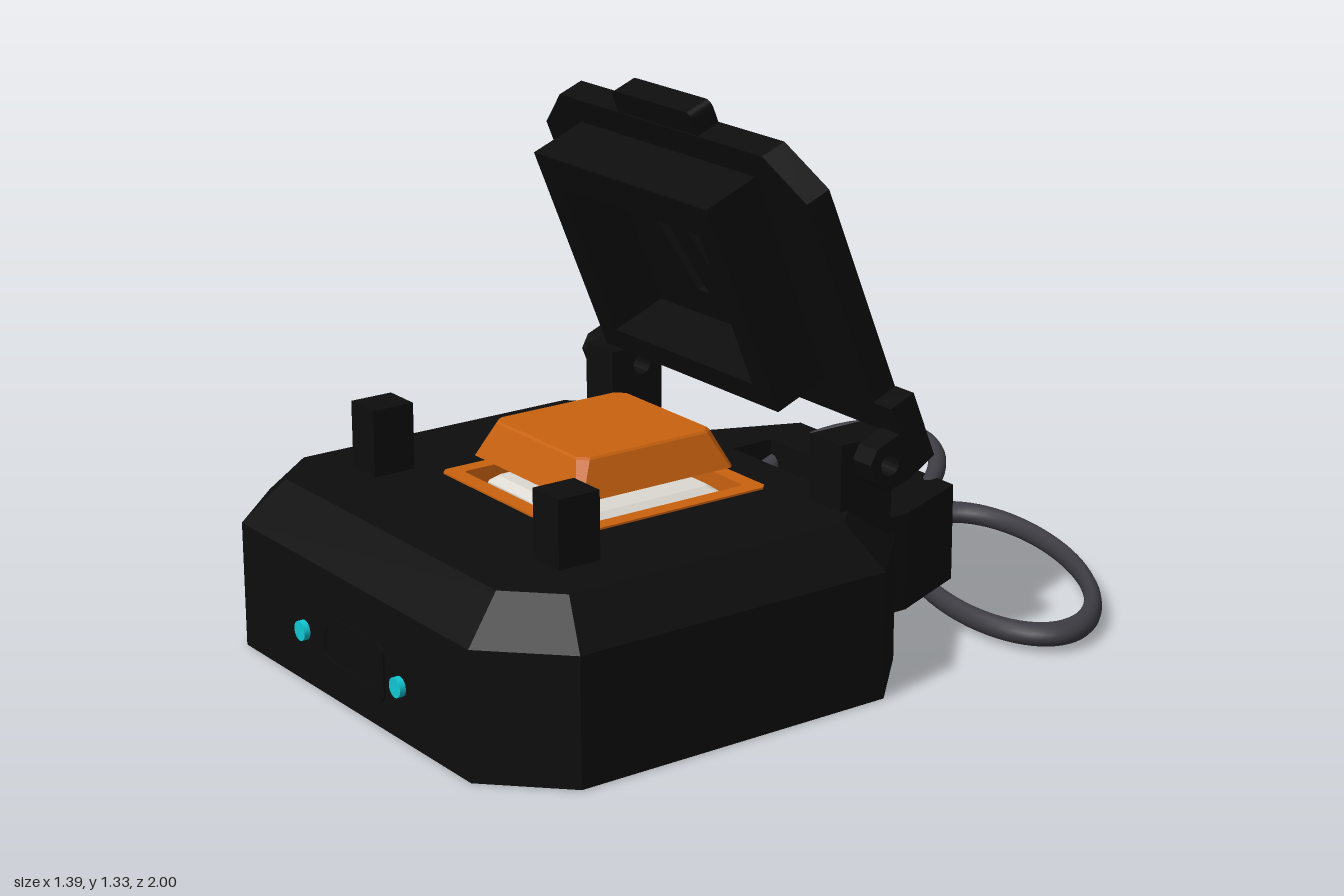
import * as THREE from 'three';

const CX = -0.0325; // mirror plane of the body

const mat = (name, color, side = THREE.FrontSide) => {
  const m = new THREE.MeshStandardMaterial({ color, side });
  m.name = name;
  return m;
};

// chamfered rectangle loop at height y
function loop(y, hx, hz, c, cz) {
  const p = [[hx, hz - c], [hx, -hz + c], [hx - c, -hz], [-hx + c, -hz],
    [-hx, -hz + c], [-hx, hz - c], [-hx + c, hz], [hx - c, hz]];
  return p.map(([x, z]) => [CX + x, y, cz + z]);
}

// skin through a stack of loops, flat shaded, with optional end caps
function loft(loops, caps = true) {
  const v = [];
  const tri = (a, b, c) => v.push(...a, ...b, ...c);
  const n = loops[0].length;
  for (let k = 0; k < loops.length - 1; k++) {
    const a = loops[k], b = loops[k + 1];
    for (let i = 0; i < n; i++) {
      const j = (i + 1) % n;
      tri(a[i], a[j], b[j]);
      tri(a[i], b[j], b[i]);
    }
  }
  if (caps) {
    const a = loops[0], b = loops[loops.length - 1];
    for (let i = 1; i < n - 1; i++) {
      tri(a[0], a[i + 1], a[i]);
      tri(b[0], b[i], b[i + 1]);
    }
  }
  const g = new THREE.BufferGeometry();
  g.setAttribute('position', new THREE.Float32BufferAttribute(v, 3));
  g.computeVertexNormals();
  return g;
}

const poly = (pts) => new THREE.Shape(pts.map(([x, y]) => new THREE.Vector2(x, y)));
const extrude = (shape, depth) =>
  new THREE.ExtrudeGeometry(shape, { depth, bevelEnabled: false, curveSegments: 10 });
const rect = (x0, x1, y0, y1) => poly([[x0, y0], [x1, y0], [x1, y1], [x0, y1]]);
// shape drawn as (z, y), given a thickness along x
const extrudeX = (shape, w) => extrude(shape, w).rotateY(-Math.PI / 2).translate(w / 2, 0, 0);

function pinHole(shape, x, y) {
  shape.holes.push(new THREE.Path().absarc(x, y, 0.026, 0, Math.PI * 2, true));
  return shape;
}

function roundRect(w, h, r) {
  const s = new THREE.Shape(), x = w / 2, y = h / 2;
  s.absarc(x - r, y - r, r, 0, Math.PI / 2);
  s.absarc(-x + r, y - r, r, Math.PI / 2, Math.PI);
  s.absarc(-x + r, -y + r, r, Math.PI, Math.PI * 1.5);
  s.absarc(x - r, -y + r, r, Math.PI * 1.5, Math.PI * 2);
  return s;
}

export function createModel() {
  const root = new THREE.Group();
  root.name = 'keySwitchCase';
  const black = mat('black plastic', 0x0d0d0d);
  const orange = mat('orange plastic', 0xc8620f);
  const orangeOpen = mat('orange trim', 0xc8620f, THREE.DoubleSide);
  const cyan = mat('cyan light', 0x10c8d4);
  const grey = mat('ring metal', 0x3d3c43);
  const white = mat('switch white', 0xdcd9d2);

  const add = (name, geo, m, parent = root, x = 0, y = 0, z = 0) => {
    const mesh = new THREE.Mesh(geo, m);
    mesh.name = name;
    mesh.position.set(x, y, z);
    parent.add(mesh);
    return mesh;
  };

  // body with bevelled top edge and a square switch well
  const BZ = 0.3925, KZ = 0.288;
  add('body', loft([
    loop(0, 0.6675, 0.5925, 0.172, BZ),
    loop(0.31, 0.6675, 0.5925, 0.172, BZ),
    loop(0.41, 0.5675, 0.4925, 0.113, BZ),
    loop(0.41, 0.24, 0.24, 0, KZ),
    loop(0.36, 0.24, 0.24, 0, KZ),
  ]), black);

  // switch: trim, housing, stem and cap
  add('switchTrim', loft([
    loop(0.409, 0.278, 0.278, 0.015, KZ),
    loop(0.415, 0.278, 0.278, 0.015, KZ),
    loop(0.415, 0.237, 0.237, 0.008, KZ),
    loop(0.362, 0.237, 0.237, 0.008, KZ),
  ], false), orangeOpen);
  add('switchHousing', loft([
    loop(0.36, 0.2, 0.2, 0.01, KZ),
    loop(0.395, 0.2, 0.2, 0.01, KZ),
    loop(0.411, 0.18, 0.18, 0.01, KZ),
  ]), white);
  add('switchStem', new THREE.BoxGeometry(0.14, 0.07, 0.145), orange, root, CX, 0.435, KZ);
  add('keyCap', loft([
    loop(0.46, 0.2225, 0.2225, 0.012, KZ),
    loop(0.545, 0.189, 0.189, 0.022, KZ),
    loop(0.55, 0.184, 0.184, 0.022, KZ),
  ]), orange);

  // strap loop at the back
  const strap = poly([[-0.395, 0.1], [0.395, 0.1], [0.395, 0.32], [0.302, 0.545], [-0.302, 0.545], [-0.395, 0.32]]);
  strap.holes.push(new THREE.Path(
    [[-0.24, 0.205], [-0.24, 0.4], [0.24, 0.4], [0.24, 0.205]].map(([x, y]) => new THREE.Vector2(x, y))));
  add('strapLoop', extrude(strap, 0.245).rotateX(-Math.PI / 2), black, root, CX, 0.065, 0);

  // key rings
  const small = add('smallRing', new THREE.TorusGeometry(0.243, 0.023, 12, 56).rotateX(Math.PI / 2),
    grey, root, -0.025, 0.26, -0.435);
  small.rotation.x = 0.33;
  add('largeRing', new THREE.TorusGeometry(0.44, 0.04, 14, 72).rotateX(Math.PI / 2)
    .scale(1, 0.69, 0.467).rotateY(-0.408), grey, root, 0.237, 0.037, -0.72);

  // posts, lights and feet, mirrored
  const PY = 0.525, PZ = -0.11;
  for (const s of [-1, 1]) {
    add('frontPost', new THREE.BoxGeometry(0.1, 0.18, 0.11), black, root, CX + s * 0.388, 0.485, 0.655);
    add('hingePost', extrudeX(pinHole(rect(-0.17, -0.02, 0.31, 0.572), PZ, PY), 0.115), black, root, CX + s * 0.455);
    add('statusLight', new THREE.CylinderGeometry(0.024, 0.024, 0.03, 20).rotateX(Math.PI / 2),
      cyan, root, CX + s * 0.21, 0.13, 0.985);
    const foot = add('footPad', new THREE.RingGeometry(0.035, 0.065, 28), black, root, CX + s * 0.45, -0.001, 0.39);
    foot.rotation.x = Math.PI / 2;
  }

  // charging port
  const port = roundRect(0.29, 0.145, 0.035);
  port.holes.push(roundRect(0.23, 0.08, 0.03));
  add('portFrame', extrude(port, 0.006), black, root, CX, 0.132, 0.983);

  // open lid, pivoting on the hinge pin
  const lid = new THREE.Group();
  lid.name = 'lid';
  lid.position.set(CX, PY, PZ);
  lid.rotation.x = 0.384;
  root.add(lid);

  const plate = poly([[-0.515, 0.045], [0.515, 0.045], [0.515, 0.66], [0.4, 0.76], [-0.4, 0.76], [-0.515, 0.66]]);
  for (let i = 0; i < 3; i++) {
    const t = -0.168 + i * 0.123, b = t + 0.108, w = 0.021;
    plate.holes.push(new THREE.Path(
      [[t - w, 0.535], [b - w, 0.278], [b + w, 0.278], [t + w, 0.535]].map(([x, y]) => new THREE.Vector2(x, y))));
  }
  add('lidPlate', extrude(plate, 0.068), black, lid, 0, 0, -0.12);

  const rim = rect(-0.345, 0.345, 0.141, 0.694);
  rim.holes.push(rect(-0.275, 0.275, 0.2, 0.61));
  add('lidRim', extrude(rim, 0.15), black, lid, 0, 0, -0.053);

  add('lidTab', extrude(roundRect(0.315, 0.14, 0.02), 0.064), black, lid, 0, 0.75, -0.118);

  for (const s of [-1, 1]) {
    const arm = pinHole(poly([[-0.122, -0.05], [-0.036, -0.064], [0.03, -0.055], [0.05, -0.02],
      [0.05, 0.03], [0.02, 0.055], [-0.05, 0.055], [-0.05, 0.125], [-0.122, 0.125]]), 0, 0);
    add('hingeArm', extrudeX(arm, 0.064), black, lid, s * 0.547);
  }
  return root;
}
